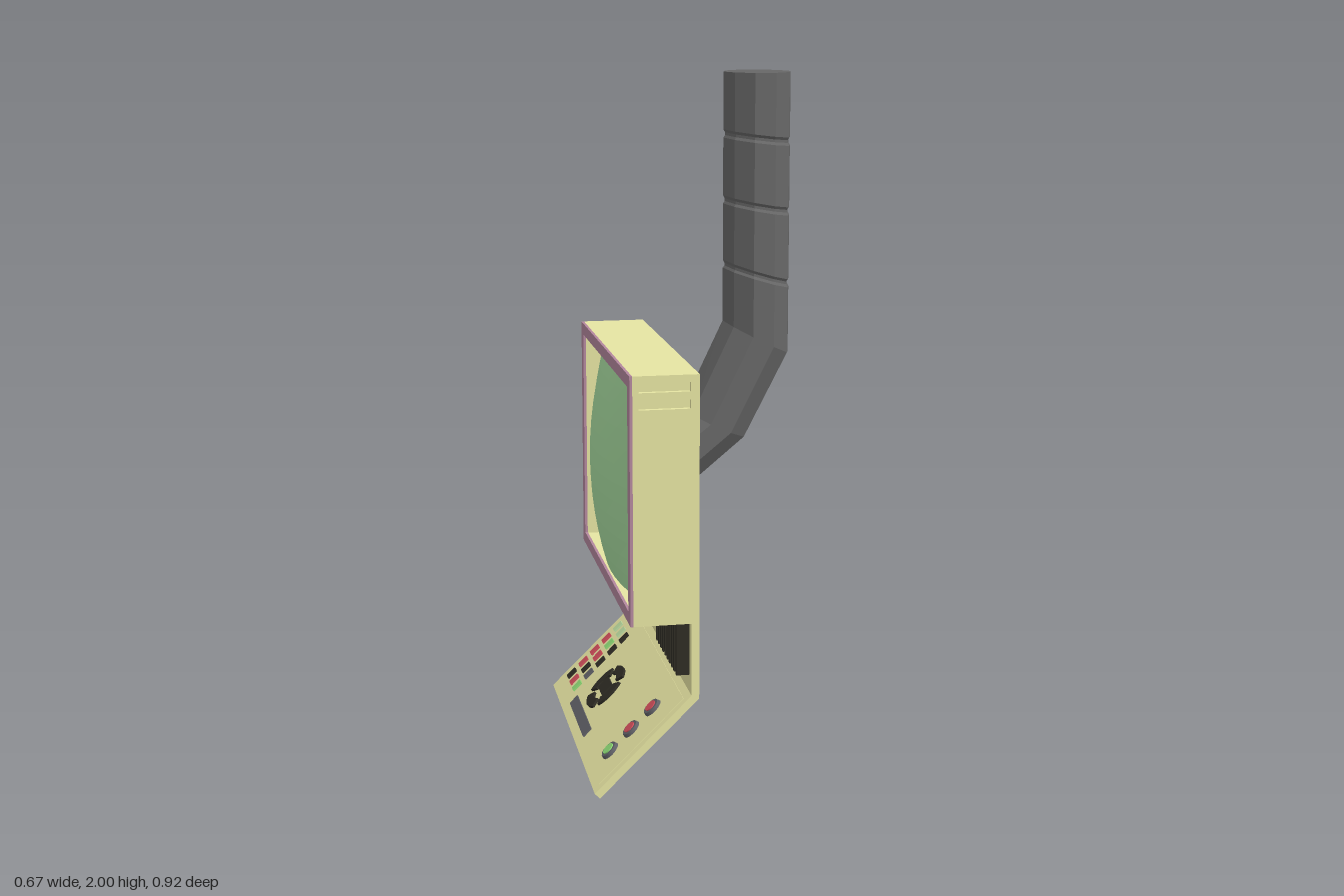
import * as THREE from 'three';

const mat = (name, color, side = THREE.FrontSide) =>
  Object.assign(new THREE.MeshStandardMaterial({ color, side }), { name });

export function createModel() {
  const M = {
    casing: mat('beige casing', 0xe6e4a2),
    trim: mat('purple trim', 0xb4889e),
    glass: mat('green glass', 0xa8dca0, THREE.DoubleSide),
    hose: mat('grey hose', 0x676767),
    black: mat('black plastic', 0x2e2c24),
    grey: mat('dark grey plastic', 0x606066),
    red: mat('red button', 0xd04e5a),
    green: mat('green button', 0x8edb76),
    pale: mat('pale green button', 0xbcdca0),
  };
  const model = new THREE.Group();
  model.name = 'wallTerminal';

  const group = (name, parent = model) => {
    const g = new THREE.Group();
    g.name = name;
    parent.add(g);
    return g;
  };
  const add = (parent, name, geo, material, x = 0, y = 0, z = 0) => {
    const m = new THREE.Mesh(geo, material);
    m.name = name;
    m.position.set(x, y, z);
    parent.add(m);
    return m;
  };
  // box given by its limits
  const box = (parent, name, material, x0, x1, y0, y1, z0, z1) =>
    add(parent, name, new THREE.BoxGeometry(x1 - x0, y1 - y0, z1 - z0), material,
      (x0 + x1) / 2, (y0 + y1) / 2, (z0 + z1) / 2);
  const shapeOf = (pts) => new THREE.Shape(pts.map((p) => new THREE.Vector2(...p)));
  const rect = (x0, x1, y0, y1) => [[x0, y0], [x1, y0], [x1, y1], [x0, y1]];

  // back plate folding into the sloping desk
  const profile = shapeOf([[-0.035, 1.21], [-0.057, 1.21], [-0.057, 0.288], [-0.335, 0.015],
    [-0.32, 0], [-0.035, 0.278]]);
  add(model, 'backPlateAndDesk',
    new THREE.ExtrudeGeometry(profile, { depth: 0.92, bevelEnabled: false }), M.casing, 0, 0, -0.46);

  // hollow screen housing
  const housing = group('screenHousing');
  box(housing, 'topWall', M.casing, -0.222, -0.057, 1.18, 1.21, -0.46, 0.445);
  box(housing, 'bottomWall', M.casing, -0.222, -0.057, 0.5, 0.53, -0.46, 0.445);
  box(housing, 'plainSideWall', M.casing, -0.222, -0.057, 0.53, 1.18, -0.46, -0.43);
  box(housing, 'ventedSideCore', M.casing, -0.222, -0.057, 0.53, 1.18, 0.43, 0.445);
  const side = shapeOf(rect(-0.222, -0.057, 0.5, 1.21));
  for (const y of [1.163, 1.115]) side.holes.push(shapeOf(rect(-0.205, -0.06, y, y + 0.026)));
  add(housing, 'ventedSide',
    new THREE.ExtrudeGeometry(side, { depth: 0.015, bevelEnabled: false }), M.casing, 0, 0, 0.445);

  // purple frame round the opening
  const frame = group('screenFrame');
  for (const y of [0.5, 1.175]) box(frame, 'frameRail', M.trim, -0.23, -0.222, y, y + 0.035, -0.46, 0.46);
  for (const z of [-0.46, 0.422]) box(frame, 'framePost', M.trim, -0.23, -0.222, 0.535, 1.175, z, z + 0.038);

  // bulging glass
  const flat = new THREE.PlaneGeometry(0.86, 0.65, 12, 12).rotateY(-Math.PI / 2);
  const pos = flat.attributes.position;
  for (let i = 0; i < pos.count; i++) {
    const y2 = pos.getY(i) ** 2, z2 = pos.getZ(i) ** 2;
    pos.setX(i, -0.265 + 0.59 * z2 + 0.48 * y2 - 2 * y2 * z2);
  }
  const dome = flat.toNonIndexed();
  dome.computeVertexNormals();
  add(model, 'screenGlass', dome, M.glass, 0, 0.855, 0);

  // finned grilles below the screen
  for (const [z0, z1] of [[-0.44, -0.3], [0.1, 0.43]]) {
    const grille = group('grille');
    box(grille, 'grilleBack', M.black, -0.075, -0.057, 0.34, 0.5, z0, z1);
    const n = Math.round((z1 - z0) / 0.035);
    for (let i = 0; i <= n; i++) {
      const z = z0 + (z1 - z0 - 0.015) * i / n;
      box(grille, 'grilleFin', M.black, -0.095, -0.075, 0.34, 0.5, z, z + 0.015);
    }
  }

  // controls: local x runs up the slope, y out of the desk
  const desk = group('controlPanel');
  desk.position.set(-0.335, 0.015, 0);
  desk.rotation.z = Math.atan2(0.273, 0.278);
  box(desk, 'panelInset', M.casing, 0.024, 0.365, 0, 0.002, -0.437, 0.435);
  box(desk, 'slotBar', M.grey, 0.034, 0.068, 0.002, 0.007, -0.205, 0.085);

  // keypad, front row first
  const keys = [
    ['black', 'red', 'green'], ['red', 'black', 'grey'], ['red', 'red', 'black'],
    ['red', 'green', 'black'], ['pale', 'pale', 'black'],
  ];
  const keypad = group('keypad', desk);
  keys.forEach((row, r) => row.forEach((c, k) => {
    const u = 0.079 + 0.053 * r, z = -0.395 + 0.059 * k;
    box(keypad, 'key', M[c], u - 0.018, u + 0.018, 0.002, 0.008, z - 0.014, z + 0.014);
  }));

  // direction pad: four arcs round a central button
  const pad = group('directionPad', desk);
  pad.position.set(0.167, 0.002, -0.078);
  for (let i = 0; i < 4; i++) {
    const a = i * Math.PI / 2 - 0.64, b = a + 1.28;
    const arc = new THREE.Shape();
    arc.absarc(0, 0, 0.08, a, b, false);
    arc.absarc(0, 0, 0.048, b, a, true);
    add(pad, 'padArc', new THREE.ExtrudeGeometry(arc,
      { depth: 0.008, bevelEnabled: false, curveSegments: 4 }).rotateX(-Math.PI / 2), M.black);
  }
  box(pad, 'padCentre', M.black, -0.022, 0.022, 0, 0.008, -0.036, 0.036);

  // round push buttons
  ['green', 'red', 'red'].forEach((c, i) => {
    const knob = group('pushButton', desk);
    knob.position.set(0.097 + 0.087 * i, 0, 0.32);
    add(knob, 'buttonCollar', new THREE.CylinderGeometry(0.027, 0.031, 0.012, 12), M.grey, 0, 0.006);
    add(knob, 'buttonCap', new THREE.CylinderGeometry(0.019, 0.019, 0.004, 12), M[c], 0, 0.013);
  });

  // ribbed hose: rings of centre x, y, half-width vector x, y and scale, from the top down
  const rings = [[0.235, 2, 0.1, 0, 1]];
  for (const [y, tilt] of [[1.81, -0.012], [1.612, -0.018], [1.41, -0.03]])
    for (const [dy, s] of [[0.012, 1], [0.004, 0.95], [-0.004, 0.95], [-0.012, 1]])
      rings.push([0.235, y + dy, 0.1, tilt, s]);
  rings.push([0.235, 1.22, 0.1, -0.05, 1], [0.108, 0.965, 0.097, -0.045, 1], [-0.05, 0.838, 0, -0.13, 1]);
  const N = 10, verts = [];
  const point = ([cx, cy, ux, uy, s], j) => {
    const a = j / N * Math.PI * 2, c = Math.cos(a) * s;
    return [cx + ux * c, cy + uy * c, -0.047 + 0.118 * s * Math.sin(a)];
  };
  for (let j = 0; j < N; j++) {
    verts.push(0.235, 2, -0.047, ...point(rings[0], j + 1), ...point(rings[0], j));
    for (let i = 0; i + 1 < rings.length; i++) {
      const a = point(rings[i], j), b = point(rings[i], j + 1);
      const c = point(rings[i + 1], j), d = point(rings[i + 1], j + 1);
      verts.push(...a, ...b, ...c, ...b, ...d, ...c);
    }
  }
  const hose = new THREE.BufferGeometry();
  hose.setAttribute('position', new THREE.Float32BufferAttribute(verts, 3));
  hose.computeVertexNormals();
  add(model, 'hose', hose, M.hose);

  return model;
}
